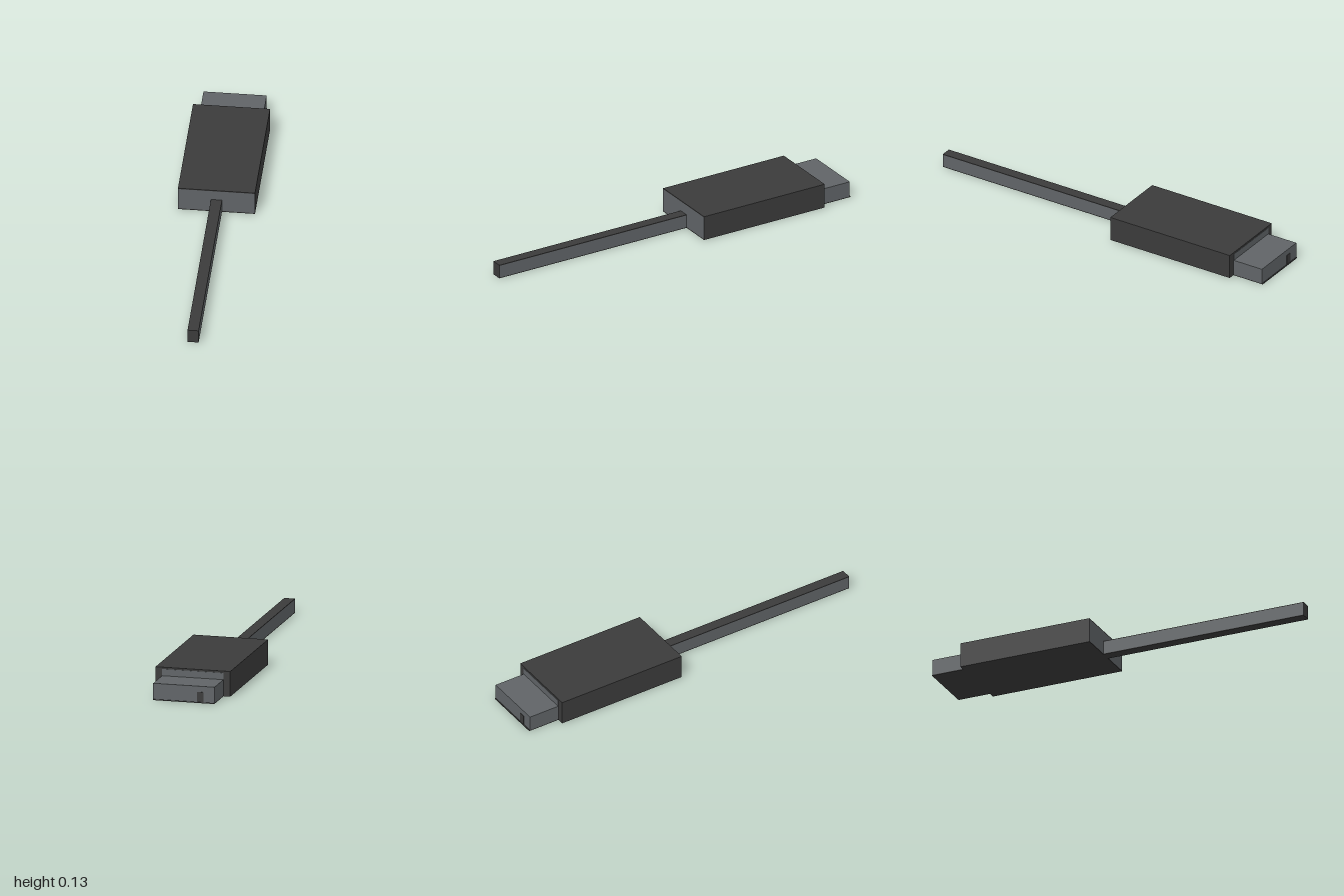
import * as THREE from 'three';

export function createModel() {
  const model = new THREE.Group();
  const dark = new THREE.MeshStandardMaterial({ color: 0x3b3b3b });
  dark.name = 'dark plastic';
  const grey = new THREE.MeshStandardMaterial({ color: 0x606467 });
  grey.name = 'grey metal';

  // Box from its limits; materials is one material or six (+x, -x, +y, -y, +z, -z)
  function box(name, [x0, x1], [y0, y1], [z0, z1], materials) {
    const mesh = new THREE.Mesh(new THREE.BoxGeometry(x1 - x0, y1 - y0, z1 - z0), materials);
    mesh.position.set((x0 + x1) / 2, (y0 + y1) / 2, (z0 + z1) / 2);
    mesh.name = name;
    model.add(mesh);
  }

  // Plug housing: grey front face between thin dark rims
  const bodyX = [-0.195, 0.195], bodyZ = [-0.825, -0.11];
  box('housing', bodyX, [0.005, 0.125], bodyZ, [dark, dark, dark, dark, grey, dark]);
  box('housingTop', bodyX, [0.125, 0.13], bodyZ, dark);
  box('housingBottom', bodyX, [0, 0.005], bodyZ, dark);
  box('rearPanel', [-0.16, 0.16], [0.085, 0.121], [-0.827, -0.824], grey);

  // Connector tip on a thin dark base that reaches slightly further back
  const tipX = [-0.16, 0.16];
  box('connector', tipX, [0.004, 0.086], [-0.995, -0.825], grey);
  box('connectorBase', tipX, [0, 0.004], [-1, -0.825], dark);
  box('connectorNotch', [-0.102, -0.07], [0.004, 0.056], [-0.997, -0.994], dark);

  // Cable: grey flanks, dark elsewhere
  const cableX = [-0.028, 0.028], cableZ = [-0.11, 1];
  box('cable', cableX, [0.004, 0.069], cableZ, [grey, grey, dark, dark, dark, dark]);
  box('cableTop', cableX, [0.069, 0.073], cableZ, dark);
  box('cableBottom', cableX, [0, 0.004], cableZ, dark);

  return model;
}
